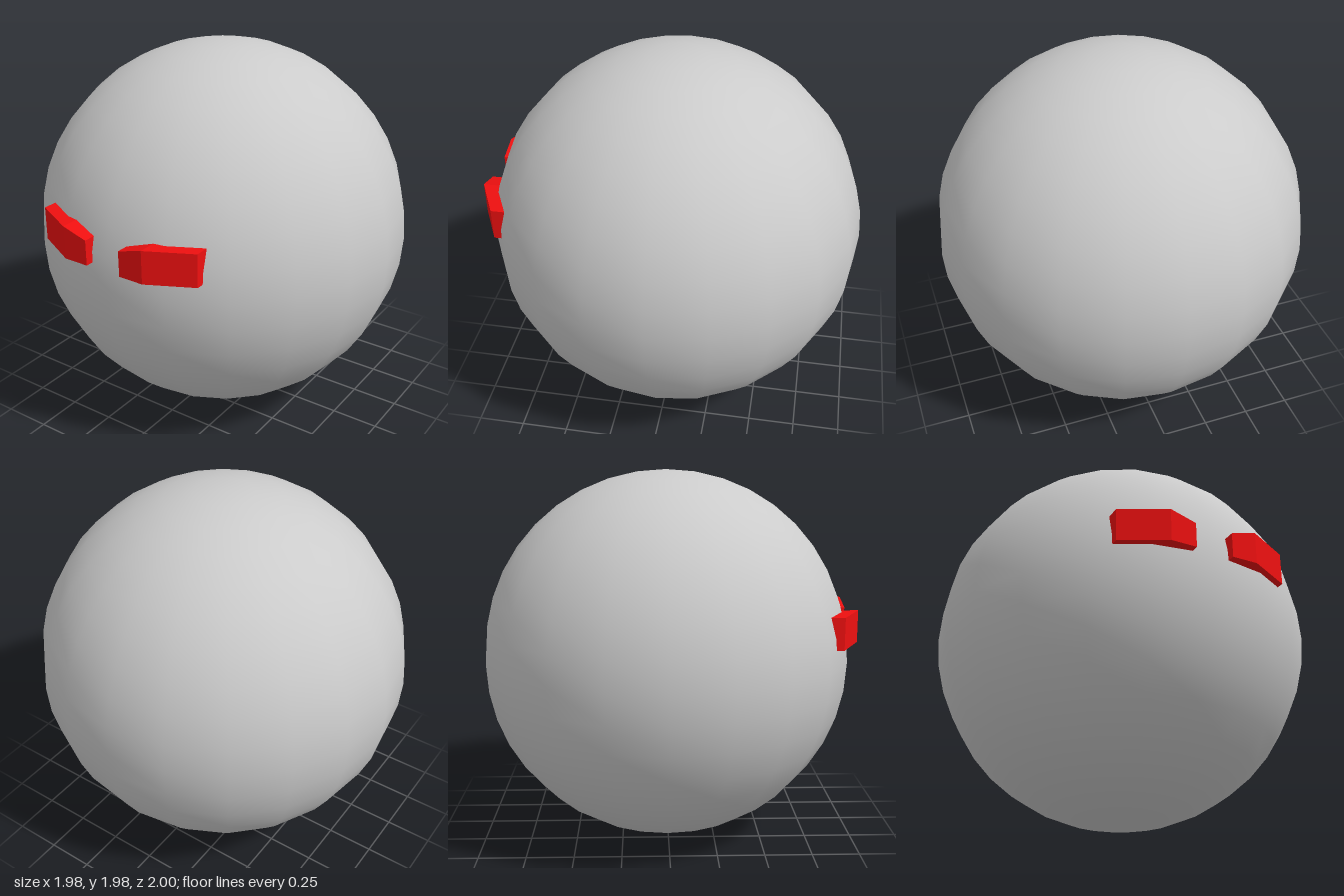
import * as THREE from 'three';
import { ConvexGeometry } from 'three/addons/geometries/ConvexGeometry.js';

// Angular eye block: cross-sections from the inner end to the outer end
function createEye(side, material) {
  const bottom = 1.087;
  const sections = [
    { x: 0.1, top: 1.218, front: 1.0, back: 0.9 },
    { x: 0.235, top: 1.257, front: 1.0, back: 0.82 },
    { x: 0.465, top: 1.257, front: 0.885, back: 0.75 },
  ];
  const points = [];
  for (const { x, top, front, back } of sections) {
    for (const y of [bottom, top]) {
      for (const z of [front, back]) points.push(new THREE.Vector3(side * x, y, z));
    }
  }
  const eye = new THREE.Mesh(new ConvexGeometry(points), material);
  eye.name = side > 0 ? 'leftEye' : 'rightEye';
  return eye;
}

export function createModel() {
  const model = new THREE.Group();
  model.name = 'ballHead';
  const grey = new THREE.MeshStandardMaterial({ color: 0xcccccc });
  const red = new THREE.MeshStandardMaterial({ color: 0xee1010 });

  // Smooth-shaded ball with a coarse outline
  const body = new THREE.Mesh(new THREE.SphereGeometry(0.992, 20, 20), grey);
  body.name = 'body';
  body.position.set(0, 0.992, -0.008);
  model.add(body);

  // Mirrored eyes set into the front of the ball
  for (const side of [-1, 1]) model.add(createEye(side, red));
  return model;
}
